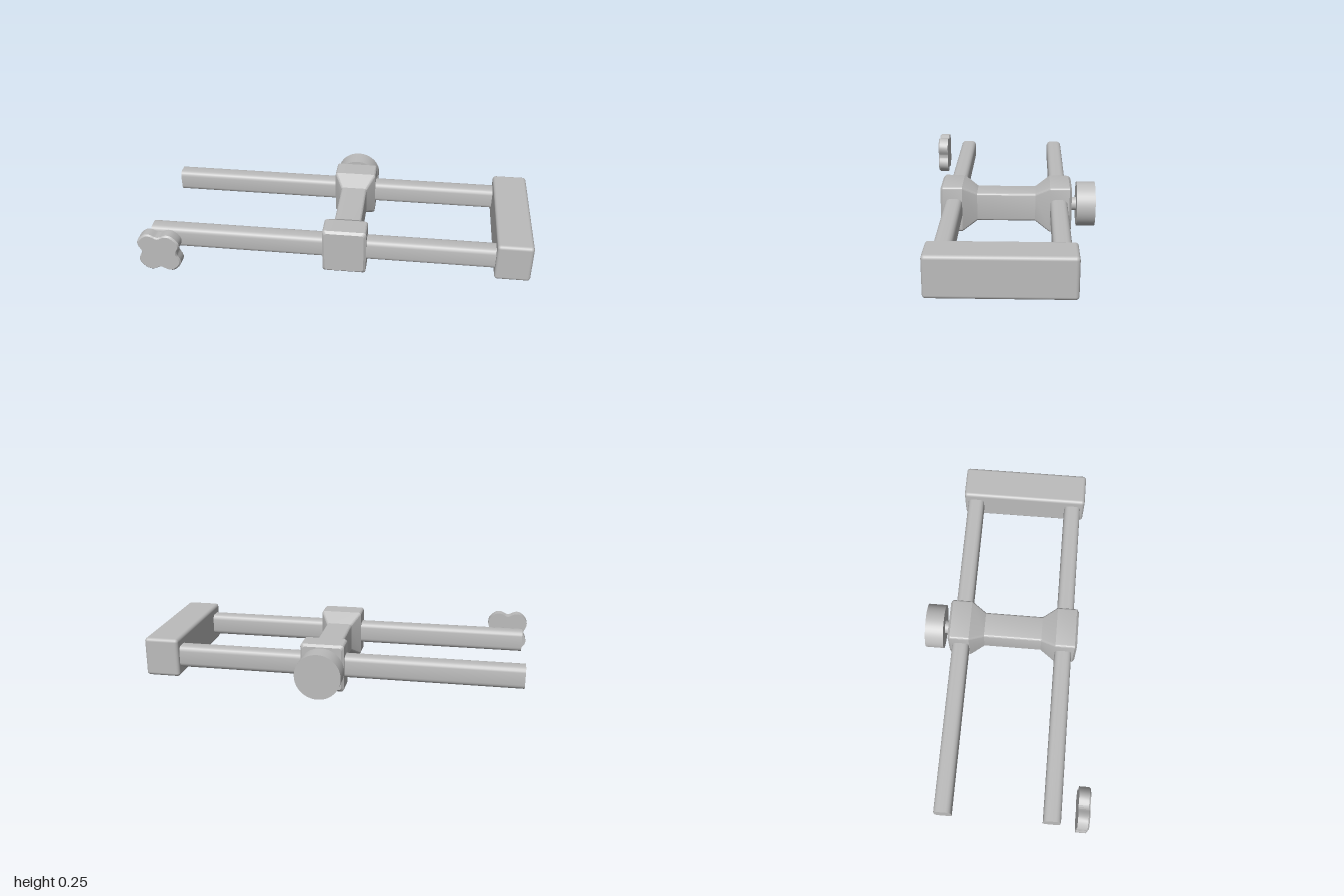
import * as THREE from 'three';
import { toCreasedNormals } from 'three/addons/utils/BufferGeometryUtils.js';
import { RoundedBoxGeometry } from 'three/addons/geometries/RoundedBoxGeometry.js';

// Counter-clockwise outline of a rounded rectangle
function roundedRect(halfW, halfH, r, steps = 4) {
  const points = [];
  for (let c = 0; c < 4; c++) {
    const cx = (halfW - r) * (c === 0 || c === 3 ? 1 : -1);
    const cy = (halfH - r) * (c < 2 ? 1 : -1);
    for (let s = 0; s <= steps; s++) {
      const a = (c + s / steps) * Math.PI / 2;
      points.push([cx + r * Math.cos(a), cy + r * Math.sin(a)]);
    }
  }
  return points;
}

// Outline with four broad lobes on the diagonals and shallow hollows between
function lobes(scale, steps = 64) {
  return Array.from({ length: steps }, (_, i) => {
    const a = i / steps * Math.PI * 2;
    const c = Math.cos(4 * a);
    const r = scale * (0.1175 - 0.0175 * c - 0.009 * c * c);
    return [r * Math.cos(a), r * Math.sin(a)];
  });
}

// Capped skin through sections { z, ring }, ordered from low z to high z
function loft(sections, crease) {
  const n = sections[0].ring.length;
  const position = [], index = [];
  for (const { z, ring } of sections) for (const [x, y] of ring) position.push(x, y, z);
  const last = (sections.length - 1) * n;
  const back = position.length / 3, front = back + 1;
  position.push(0, 0, sections[0].z, 0, 0, sections[sections.length - 1].z);
  for (let i = 0; i < n; i++) {
    const j = (i + 1) % n;
    for (let a = 0; a < last; a += n) {
      index.push(a + i, a + j, a + n + j, a + i, a + n + j, a + n + i);
    }
    index.push(back, j, i, front, last + i, last + j);
  }
  const geometry = new THREE.BufferGeometry();
  geometry.setAttribute('position', new THREE.Float32BufferAttribute(position, 3));
  geometry.setIndex(index);
  return toCreasedNormals(geometry, crease);
}

export function createModel() {
  const model = new THREE.Group();
  model.name = 'slidingClamp';
  const grey = new THREE.MeshStandardMaterial({ color: 0xbcbcbc });
  grey.name = 'lightGrey';

  const add = (name, geometry, x, y, z) => {
    const mesh = new THREE.Mesh(geometry, grey);
    mesh.name = name;
    mesh.position.set(x, y, z);
    model.add(mesh);
    return mesh;
  };

  // Fixed jaw across the end of the rods
  add('endBlock', new RoundedBoxGeometry(0.183, 0.207, 0.69, 3, 0.018), 0.907, 0.128, 0.007);

  // Two parallel guide rods
  const rodRing = roundedRect(0.045, 0.058, 0.026);
  for (const [name, z] of [['frontRod', 0.284], ['backRod', -0.272]]) {
    const rod = loft([{ z: -0.9, ring: rodRing }, { z: 0.9, ring: rodRing }], 0.6);
    rod.rotateY(Math.PI / 2);
    add(name, rod, -0.071, 0.129, z);
  }

  // Sliding carriage: wide at both rods, waisted between them, chamfered ends
  const half = [
    [0.155, 0.071, 0.078],
    [0.232, 0.113, 0.125],
    [0.335, 0.113, 0.125],
    [0.347, 0.101, 0.113],
  ];
  const profile = [...half.map(([z, w, h]) => [-z, w, h]).reverse(), ...half];
  const sections = profile.map(([z, w, h]) => ({ z, ring: roundedRect(w, h, 0.015) }));
  add('carriage', loft(sections, 0.3), 0.046, 0.127, 0.007);

  // Round locking knob on its stem at the back of the carriage
  const stem = add('knobStem', new THREE.CylinderGeometry(0.036, 0.036, 0.06, 32), 0.044, 0.127, -0.353);
  const knob = add('roundKnob', new THREE.CylinderGeometry(0.119, 0.119, 0.098, 48), 0.044, 0.127, -0.417);
  stem.rotation.x = knob.rotation.x = Math.PI / 2;

  // Four-lobed knob, set apart in front of the free rod end
  const lobed = loft([
    { z: 0, ring: lobes(1) },
    { z: 0.052, ring: lobes(1) },
    { z: 0.06, ring: lobes(0.93) },
  ], 0.6);
  add('lobedKnob', lobed, -0.892, 0.13, 0.408);

  return model;
}
